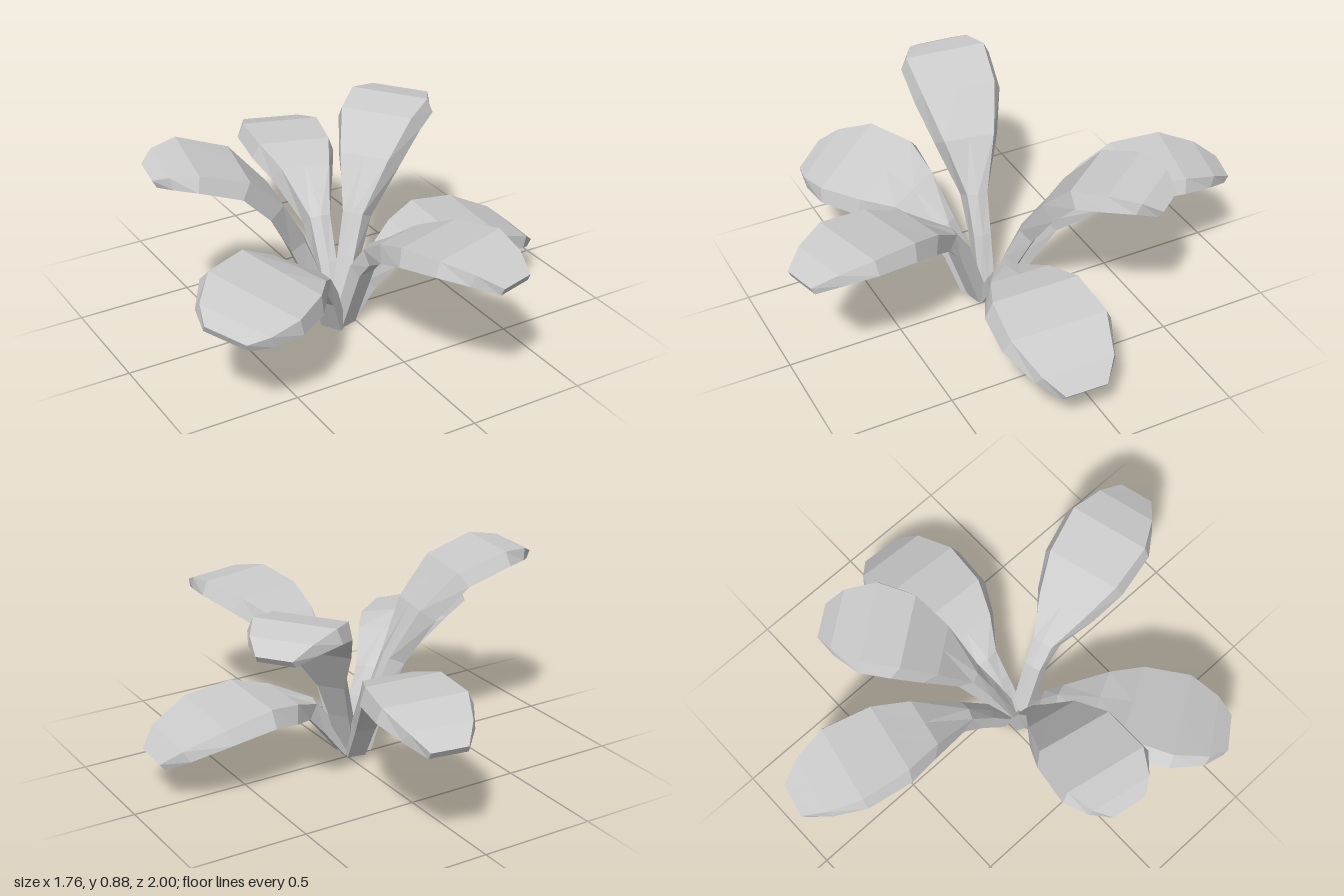
import * as THREE from 'three';

// Shared leaf cross-sections, stalk to tip: outer half width, top half width, thickness, midrib height
const SECTIONS = [
  [0.04, 0.035, 0.06, 0.0],
  [0.045, 0.038, 0.065, 0.005],
  [0.06, 0.045, 0.07, 0.012],
  [0.14, 0.11, 0.075, 0],
  [0.19, 0.16, 0.07, 0],
  [0.2, 0.175, 0.06, 0],
  [0.145, 0.13, 0.05, 0],
  [0.08, 0.075, 0.035, 0],
];

// Each leaf: root and tip on the ground plan, width factor, sideways roll,
// and (reach, height) of the top centre line
const LEAVES = [
  { name: 'leftRearLeaf', root: [-0.07, 0.05], tip: [-0.83, -0.08], width: 1, roll: -0.05,
    path: [[0, 0], [0.07, 0.25], [0.14, 0.42], [0.25, 0.64], [0.4, 0.8], [0.61, 0.87], [0.72, 0.86], [0.775, 0.83]] },
  { name: 'rightFrontLeaf', root: [-0.07, 0.09], tip: [-0.84, 0.56], width: 1.18, roll: -0.27,
    path: [[0, 0], [0.085, 0.2], [0.16, 0.31], [0.33, 0.43], [0.47, 0.48], [0.68, 0.485], [0.82, 0.45], [0.89, 0.42]] },
  { name: 'frontLeaf', root: [-0.06, 0.07], tip: [0.18, 0.98], width: 1, roll: 0.02,
    path: [[0.005, 0], [0.11, 0.32], [0.19, 0.43], [0.34, 0.54], [0.5, 0.605], [0.71, 0.635], [0.85, 0.61], [0.945, 0.567]] },
  { name: 'sideLeaf', root: [-0.06, 0.06], tip: [0.87, 0.095], width: 1.2, roll: 0.02,
    path: [[0, 0], [0.11, 0.17], [0.2, 0.275], [0.33, 0.33], [0.48, 0.36], [0.69, 0.325], [0.86, 0.25], [0.935, 0.185]] },
  { name: 'backLeaf', root: [-0.05, 0.05], tip: [0.165, -0.98], width: 1, roll: 0.05,
    path: [[0.01, 0], [0.12, 0.2], [0.23, 0.37], [0.43, 0.52], [0.59, 0.57], [0.81, 0.575], [0.96, 0.53], [1.05, 0.475]] },
  { name: 'backSideLeaf', root: [-0.06, 0.06], tip: [0.585, -0.425], width: 1, roll: 0,
    path: [[0, 0], [0.1, 0.25], [0.18, 0.42], [0.31, 0.63], [0.45, 0.775], [0.61, 0.805], [0.74, 0.78], [0.81, 0.73]] },
];

const UP = new THREE.Vector3(0, 1, 0);

function leafGeometry({ root, tip, width, roll, path }) {
  const out = new THREE.Vector3(tip[0] - root[0], 0, tip[1] - root[1]).normalize();
  const side = out.clone().cross(UP);
  const last = path.length - 1;

  // One five-sided ring per station, square to the centre line
  const rings = path.map(([r, y], i) => {
    const a = path[Math.max(i - 1, 0)], b = path[Math.min(i + 1, last)];
    const tangent = new THREE.Vector2(b[0] - a[0], b[1] - a[1]).normalize();
    if (i === 0) tangent.set(0, 1); // flat foot on the ground
    const n0 = out.clone().multiplyScalar(-tangent.y).addScaledVector(UP, tangent.x);
    const angle = roll * Math.min(Math.max(i - 1, 0) / 3, 1);
    const n = n0.clone().multiplyScalar(Math.cos(angle)).addScaledVector(side, Math.sin(angle));
    const s = side.clone().multiplyScalar(Math.cos(angle)).addScaledVector(n0, -Math.sin(angle));
    const centre = new THREE.Vector3(root[0], y, root[1]).addScaledVector(out, r);
    const [outer, inner, thick, rib] = SECTIONS[i];
    return [[-inner, 0], [0, rib], [inner, 0], [outer, -thick], [-outer, -thick]]
      .map(([u, v]) => centre.clone().addScaledVector(s, u * width).addScaledVector(n, v));
  });

  const points = [];
  for (let i = 0; i < last; i++) {
    for (let j = 0; j < 5; j++) {
      const k = (j + 1) % 5;
      const a = rings[i][j], b = rings[i][k], c = rings[i + 1][k], d = rings[i + 1][j];
      points.push(a, b, c, a, c, d);
    }
  }
  // End caps, fanned from the midrib
  const foot = rings[0], end = rings[last];
  for (const [p, q] of [[2, 3], [3, 4], [4, 0]]) {
    points.push(end[1], end[p], end[q], foot[1], foot[q], foot[p]);
  }
  const geometry = new THREE.BufferGeometry().setFromPoints(points);
  geometry.computeVertexNormals();
  return geometry;
}

export function createModel() {
  const plant = new THREE.Group();
  plant.name = 'plant';
  const material = new THREE.MeshStandardMaterial({ color: 0xcccccc, flatShading: true });
  for (const leaf of LEAVES) {
    const mesh = new THREE.Mesh(leafGeometry(leaf), material);
    mesh.name = leaf.name;
    plant.add(mesh);
  }
  return plant;
}
